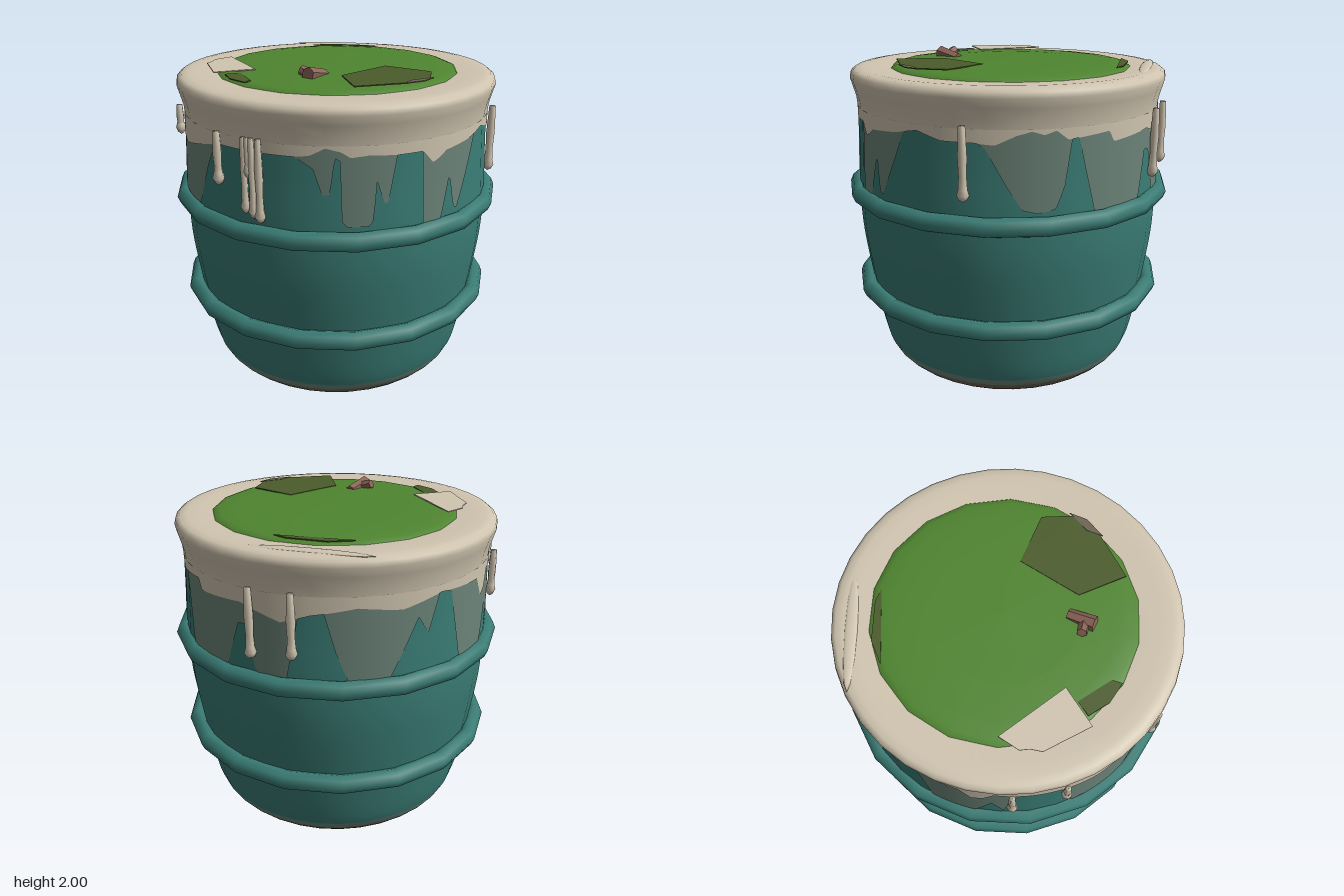
import * as THREE from 'three';

const material = (name, color, side = THREE.FrontSide) => {
  const m = new THREE.MeshStandardMaterial({ color, side });
  m.name = name;
  return m;
};

// Smooth wall outline from the foot up to the lip, as (radius, height)
const wall = new THREE.SplineCurve([
  [0.6, 0.03], [0.72, 0.1], [0.8, 0.22], [0.86, 0.53], [0.915, 0.92], [0.922, 1.2], [0.908, 1.5], [0.9, 1.7],
].map(([r, y]) => new THREE.Vector2(r, y))).getPoints(70);

function wallAt(y) {
  const i = Math.max(1, wall.findIndex((p) => p.y >= y));
  const a = wall[i - 1], b = wall[i];
  return a.clone().lerp(b, (y - a.y) / (b.y - a.y)).setY(y);
}

const wallSlice = (y0, y1) => [wallAt(y0), ...wall.filter((p) => p.y > y0 + 0.003 && p.y < y1 - 0.003), wallAt(y1)];

// Height of a ragged edge at an angle in degrees, from [angle, height] stops
function edgeAt(stops, deg) {
  const i = stops.findIndex((s) => s[0] > deg);
  if (i <= 0) return stops[i < 0 ? stops.length - 1 : 0][1];
  const [a, ya] = stops[i - 1], [b, yb] = stops[i];
  return THREE.MathUtils.lerp(ya, yb, (deg - a) / (b - a));
}

// Thin coat hugging the wall between a level top and a ragged lower edge
function coatGeometry(top, stops, offset) {
  const pos = [], nor = [], idx = [], steps = 540, rows = 4;
  for (let i = 0; i <= steps; i++) {
    const deg = -30 + (360 * i) / steps, a = THREE.MathUtils.degToRad(deg);
    const low = edgeAt(stops, deg);
    for (let j = 0; j <= rows; j++) {
      const y = THREE.MathUtils.lerp(low, top, j / rows), r = wallAt(y).x + offset;
      pos.push(r * Math.sin(a), y, r * Math.cos(a));
      nor.push(Math.sin(a), 0, Math.cos(a));
      if (i < steps && j < rows) {
        const k = i * (rows + 1) + j, n = k + rows + 1;
        idx.push(k, n, k + 1, n, n + 1, k + 1);
      }
    }
  }
  const g = new THREE.BufferGeometry();
  g.setAttribute('position', new THREE.Float32BufferAttribute(pos, 3));
  g.setAttribute('normal', new THREE.Float32BufferAttribute(nor, 3));
  g.setIndex(idx);
  return g;
}

export function createModel() {
  const group = new THREE.Group();
  const teal = material('teal paint', 0x3a7c75);
  const cream = material('cream glaze', 0xd0c5b0, THREE.DoubleSide);
  const wash = material('thin grey wash', 0x6c8479, THREE.DoubleSide);
  const green = material('moss green', 0x4f8530);
  const darkMoss = material('dark moss', 0x4b5c2b, THREE.DoubleSide);
  const rust = material('rust', 0x7c4632);
  const stain = material('brown stain', 0x6c6456);
  const darkRust = material('dark rust', 0x6e3827);
  const bark = material('bark', 0x8c6558);

  const add = (name, geometry, mat) => {
    const mesh = new THREE.Mesh(geometry, mat);
    mesh.name = name;
    group.add(mesh);
    return mesh;
  };
  const lathe = (name, points, mat, sides = 36) => add(name, new THREE.LatheGeometry(
    points.map((p) => (p.isVector2 ? p : new THREE.Vector2(...p))), sides), mat);

  // Barrel wall in colour bands
  lathe('base', [[0, 0], [0.4, 0.003], [0.6, 0.03]], darkRust);
  lathe('rustBand', wallSlice(0.03, 0.11), rust);
  lathe('stainBand', wallSlice(0.11, 0.155), stain);
  lathe('washBand', wallSlice(0.155, 0.2), wash);
  lathe('body', wallSlice(0.2, 1.7), teal);

  // Two hoops
  for (const [name, r, y] of [['lowerHoop', 0.908, 0.578], ['upperHoop', 0.936, 1.19]]) {
    const hoop = add(name, new THREE.TorusGeometry(r, 0.055, 8, 18), teal);
    hoop.rotation.x = Math.PI / 2;
    hoop.position.y = y;
  }

  // Rolled lip
  lathe('lip', [[0.906, 1.69], [0.912, 1.75], [0.928, 1.81], [0.942, 1.86], [0.936, 1.89], [0.912, 1.908],
    [0.87, 1.914], [0.8, 1.912], [0.68, 1.905]], cream);
  const fold = add('lipFold', new THREE.SphereGeometry(1, 12, 8), cream);
  fold.scale.set(0.34, 0.012, 0.035);
  fold.position.set(0.3, 1.91, -0.77);
  fold.rotation.y = -0.47;

  // Ragged glaze edge and the thin runs below it
  const glazeEdge = [[-30, 1.64], [-25, 1.65], [-20, 1.69], [-15, 1.67], [-12, 1.64], [-6, 1.65], [4, 1.64],
    [13, 1.64], [17, 1.57], [20, 1.59], [23, 1.62], [36, 1.64], [46, 1.67], [55, 1.63], [66, 1.63], [73, 1.62],
    [80, 1.67], [85, 1.69], [89, 1.67], [93, 1.69], [97, 1.64], [113, 1.66], [115, 1.6], [125, 1.61], [135, 1.62],
    [150, 1.55], [160, 1.6], [175, 1.64], [190, 1.61], [205, 1.66], [226, 1.64], [230, 1.52], [234, 1.55],
    [238, 1.65], [260, 1.6], [275, 1.55], [290, 1.6], [300, 1.64], [330, 1.64]];
  const washEdge = [[-30, 1.64], [-24, 1.58], [-21, 1.44], [-18.5, 1.45], [-17, 1.64], [-15, 1.62], [-14.7, 1.3],
    [-13, 1.27], [-6, 1.27], [-4.3, 1.3], [-3.5, 1.52], [-1, 1.39], [0.5, 1.39], [4, 1.68], [12.7, 1.68],
    [13.2, 1.24], [21, 1.24], [25, 1.48], [27, 1.29], [29, 1.27], [36, 1.5], [41, 1.68], [62, 1.68], [70, 1.6],
    [77, 1.4], [82, 1.28], [87, 1.26], [93, 1.28], [96, 1.4], [99, 1.68], [101, 1.64], [107, 1.24], [129, 1.24],
    [134, 1.5], [137, 1.5], [141, 1.24], [152, 1.24], [157, 1.68], [163, 1.68], [168, 1.4], [172, 1.24],
    [186, 1.24], [196, 1.55], [200, 1.45], [205, 1.68], [210, 1.64], [215, 1.24], [231, 1.24], [237, 1.45],
    [241, 1.3], [247, 1.66], [260, 1.66], [266, 1.25], [288, 1.25], [294, 1.5], [300, 1.68], [330, 1.64]];
  add('washRuns', coatGeometry(1.7, washEdge, 0.004), wash);
  add('glazeEdge', coatGeometry(1.7, glazeEdge, 0.007), cream);

  // Hanging drips: [angle, lower end, width]
  const drips = [[63, 1.32, 1], [139.5, 1.32, 1], [154, 1.35, 1], [-58.5, 1.42, 1], [-47, 1.3, 0.8],
    [-45.5, 1.5, 0.7], [-44, 1.28, 0.8], [-41.5, 1.26, 0.9], [-98, 1.54, 0.9], [-116, 1.44, 0.9]];
  for (const [deg, low, w] of drips) {
    const h = 1.72 - low, a = THREE.MathUtils.degToRad(deg);
    const profile = [[0, 0], [0.022, 0.015], [0.034, 0.04], [0.025, 0.07], [0.021, h * 0.35], [0.025, h * 0.6],
      [0.019, h], [0, h]];
    const drip = lathe('drip', profile.map(([r, y]) => [r * w, y]), cream, 7);
    drip.position.set(0.935 * Math.sin(a), low, 0.935 * Math.cos(a));
  }

  // Mossy filling, slightly domed
  const domeY = (r) => 1.945 - 0.02 * Math.pow(r / 0.68, 4);
  const moss = lathe('moss', [[0.725, 1.9], [0.71, 1.915], [0.68, domeY(0.68)], [0.6, domeY(0.6)],
    [0.4, domeY(0.4)], [0, 1.945]], green, 18);
  moss.position.set(0.01, 0, -0.015);

  // Thin flat patches lying on the filling, outlined as (x, z)
  const patch = (name, outline, y, mat) => {
    const shape = new THREE.Shape(outline.map(([x, z]) => new THREE.Vector2(x, -z)));
    const mesh = add(name, new THREE.ExtrudeGeometry(shape, { depth: 0.006, bevelEnabled: false }), mat);
    mesh.rotation.x = -Math.PI / 2;
    mesh.position.y = y;
  };
  patch('glazeSpill', [[-0.74, -0.19], [-0.7, -0.24], [-0.68, -0.29], [-0.57, -0.35], [-0.5, 0.07], [-0.74, 0.09]],
    1.938, cream);
  patch('frontMossPatch', [[-0.08, 0.38], [0.24, 0.2], [0.43, 0.43], [0.36, 0.58], [0.2, 0.66], [-0.1, 0.66]],
    1.94, darkMoss);
  patch('backMossPatch', [[0.05, -0.71], [0.19, -0.7], [0.39, -0.59], [0.44, -0.53], [0.2, -0.64]], 1.924, darkMoss);
  patch('leftMossPatch', [[-0.68, 0.1], [-0.59, 0.09], [-0.57, 0.3], [-0.61, 0.34], [-0.67, 0.23]], 1.926, darkMoss);
  patch('soilPatch', [[0.17, 0.67], [0.24, 0.61], [0.38, 0.58], [0.3, 0.645]], 1.942, stain);

  // Broken twig stub with a side shoot
  const twig = (name, from, to, r0, r1) => {
    const a = new THREE.Vector3(...from), d = new THREE.Vector3(...to).sub(a);
    const mesh = add(name, new THREE.CylinderGeometry(r1, r0, d.length(), 6).toNonIndexed(), bark);
    mesh.geometry.computeVertexNormals();
    mesh.position.copy(a).addScaledVector(d, 0.5);
    mesh.quaternion.setFromUnitVectors(new THREE.Vector3(0, 1, 0), d.normalize());
  };
  twig('twig', [-0.15, 1.93, 0.28], [-0.27, 1.958, 0.37], 0.034, 0.042);
  twig('twigShoot', [-0.23, 1.94, 0.33], [-0.285, 1.968, 0.28], 0.034, 0.028);

  return group;
}
